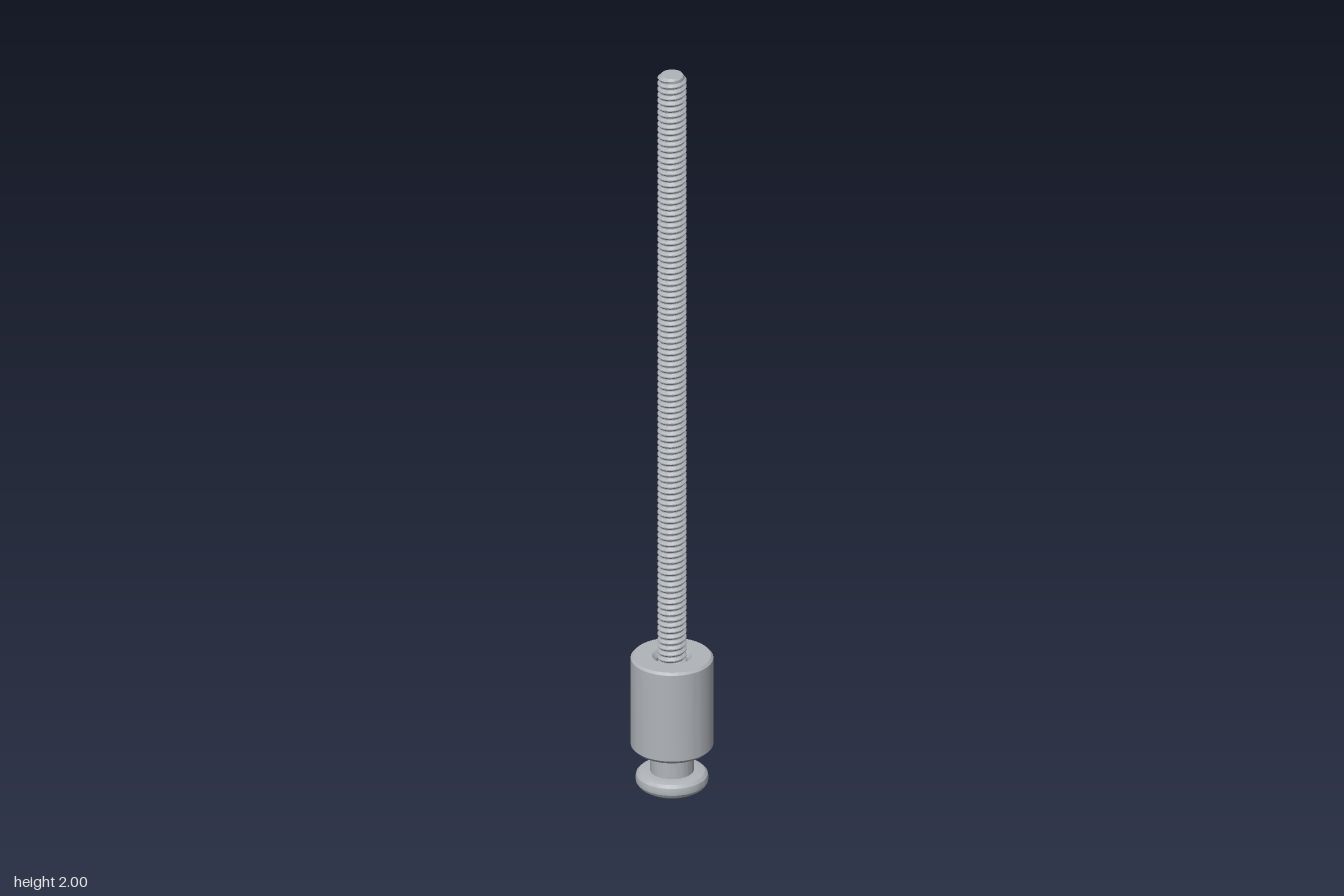
import * as THREE from 'three';
import { toCreasedNormals } from 'three/addons/utils/BufferGeometryUtils.js';

const steel = new THREE.MeshStandardMaterial({ color: 0xb0b4b9 });
steel.name = 'steel';

function part(name, geometry) {
  const mesh = new THREE.Mesh(toCreasedNormals(geometry, 0.4), steel);
  mesh.name = name;
  return mesh;
}

// Profiles run upward along the outside as [radius, y] pairs
function turned(name, points) {
  return part(name, new THREE.LatheGeometry(points.map(([r, y]) => new THREE.Vector2(r, y)), 64));
}

// Helical thread with a chamfered tip, clipped flat at both ends
function threadGeometry(bottom, top, pitch, crest, root, tip) {
  const sides = 32;
  const profile = [[0, root], [0.15, root], [0.5, crest], [0.65, crest]];
  const turns = Math.ceil((top - bottom) / pitch) + 1;
  const rows = turns * profile.length;
  const positions = [], index = [];
  for (let j = 0; j <= rows; j++) {
    const [offset, radius] = profile[j % profile.length];
    const turn = Math.floor(j / profile.length) - 1;
    for (let i = 0; i <= sides; i++) {
      const t = i / sides, a = -t * Math.PI * 2;
      const y = THREE.MathUtils.clamp(bottom + (turn + offset + t) * pitch, bottom, top);
      const r = Math.min(radius, tip + (top - y));
      positions.push(Math.cos(a) * r, y, Math.sin(a) * r);
    }
  }
  const w = sides + 1;
  for (let j = 0; j < rows; j++) {
    for (let i = 0; i < sides; i++) {
      const a = j * w + i, b = a + 1, c = a + w, d = c + 1;
      index.push(a, b, d, a, d, c);
    }
  }
  const g = new THREE.BufferGeometry();
  g.setAttribute('position', new THREE.Float32BufferAttribute(positions, 3));
  g.setIndex(index);
  return g;
}

export function createModel() {
  const model = new THREE.Group();
  model.name = 'threadedStud';

  // Flanged foot with rounded rim and a narrow neck
  model.add(turned('footAndNeck', [
    [0, 0], [0.076, 0], [0.086, 0.007], [0.091, 0.015], [0.092, 0.024],
    [0.09, 0.034], [0.083, 0.041], [0.074, 0.044], [0.055, 0.044], [0.055, 0.14],
  ]));

  // Chamfered collar with a countersunk bore
  model.add(turned('collar', [
    [0.05, 0.108], [0.094, 0.108], [0.104, 0.118], [0.104, 0.359],
    [0.098, 0.365], [0.05, 0.365], [0.039, 0.352], [0.039, 0.32], [0, 0.32],
  ]));

  // Threaded rod and its flat end
  const tip = 0.027;
  model.add(part('threadedRod', threadGeometry(0.31, 2, 0.0163, 0.037, 0.031, tip)));
  const end = part('rodEnd', new THREE.CircleGeometry(tip, 32).rotateX(-Math.PI / 2));
  end.position.y = 2;
  model.add(end);

  return model;
}
